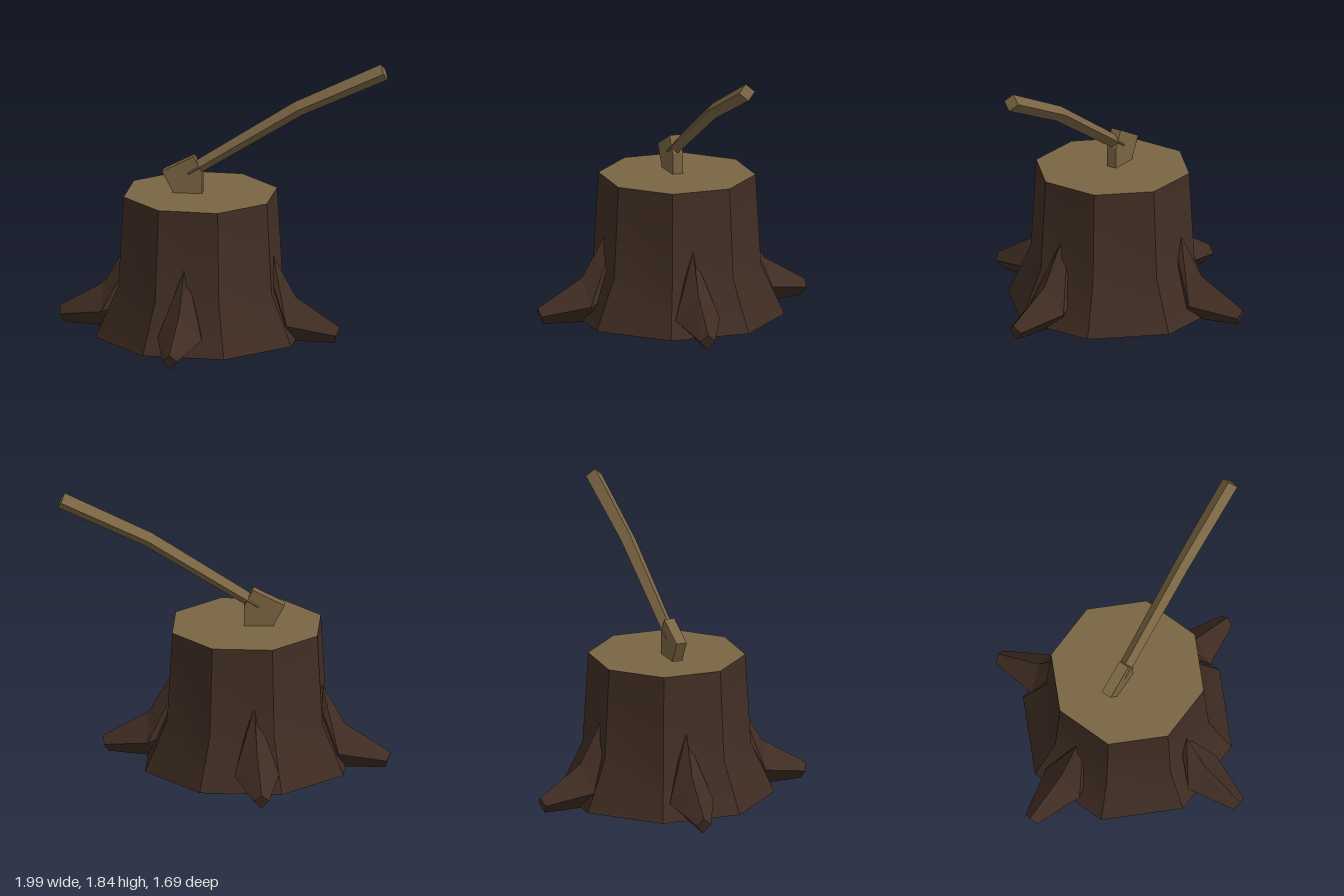
import * as THREE from 'three';
import { toCreasedNormals } from 'three/addons/utils/BufferGeometryUtils.js';

const makeMaterial = (name, color) => new THREE.MeshStandardMaterial({ name, color });

function makeMesh(name, geometry, material) {
  const mesh = new THREE.Mesh(geometry, material);
  mesh.name = name;
  return mesh;
}

// Eight-sided surface around y; edges bent by more than the crease angle stay sharp
function octagonal(profile, crease) {
  const points = profile.map(([r, y]) => new THREE.Vector2(r, y));
  return toCreasedNormals(new THREE.LatheGeometry(points, 8), crease);
}

// Joins rings of corners running along +x, and closes both ends
function loft(rings) {
  const n = rings[0].length;
  const positions = [];
  const tri = (...corners) => corners.forEach((c) => positions.push(...c));
  for (let i = 0; i < rings.length - 1; i++) {
    for (let j = 0; j < n; j++) {
      const k = (j + 1) % n;
      tri(rings[i][j], rings[i][k], rings[i + 1][k]);
      tri(rings[i][j], rings[i + 1][k], rings[i + 1][j]);
    }
  }
  const first = rings[0];
  const last = rings[rings.length - 1];
  for (let j = 1; j < n - 1; j++) {
    tri(first[0], first[j + 1], first[j]);
    tri(last[0], last[j], last[j + 1]);
  }
  const geometry = new THREE.BufferGeometry();
  geometry.setAttribute('position', new THREE.Float32BufferAttribute(positions, 3));
  geometry.computeVertexNormals();
  return geometry;
}

// Four-sided root section: ridge on top, two flanks, keel below
const rootRing = ([ridgeR, ridgeY], [sideR, sideY, width], [keelR, keelY]) => [
  [ridgeR, ridgeY, 0],
  [sideR, sideY, width],
  [keelR, keelY, 0],
  [sideR, sideY, -width],
];

// Diamond handle section, square to a direction leaning up by the given angle
const handleRing = ([u, y, radius, lean]) => {
  const dx = -Math.sin(lean) * radius;
  const dy = Math.cos(lean) * radius;
  return [[u + dx, y + dy, 0], [u, y, radius], [u - dx, y - dy, 0], [u, y, -radius]];
};

export function createModel() {
  const bark = makeMaterial('bark', 0x402d23);
  const wood = makeMaterial('wood', 0x7a6543);
  const model = new THREE.Group();
  model.name = 'stumpWithAxe';

  // Eight-sided trunk, flared softly at the foot
  const stump = new THREE.Group();
  stump.name = 'stump';
  stump.position.set(-0.1, 0, -0.04);
  stump.add(makeMesh('trunk', octagonal([[0.69, 0.02], [0.54, 0.35], [0.505, 0.945]], 0.55), bark));

  // Hollow underside
  stump.add(makeMesh('underside', octagonal([[0, 0.36], [0.69, 0.02]], 0.1), bark));

  const cut = makeMesh('cutTop', new THREE.CircleGeometry(0.505, 8).rotateX(-Math.PI / 2), wood);
  cut.position.y = 0.945;
  stump.add(cut);

  // Four spreading roots, their keels running in under the trunk
  const rootGeometry = loft([
    rootRing([0.49, 0.56], [0.45, 0.5, 0.02], [0.08, 0.33]),
    rootRing([0.64, 0.3], [0.62, 0.14, 0.145], [0.47, 0]),
    rootRing([0.935, 0.12], [0.92, 0.075, 0.05], [0.9, 0.015]),
  ]);
  const rootDirections = [[-0.88, 0.27], [0.32, 0.88], [0.9, -0.25], [-0.49, -0.79]];
  rootDirections.forEach(([x, z], i) => {
    const root = makeMesh(`root${i + 1}`, rootGeometry, bark);
    root.rotation.y = Math.atan2(-z, x);
    stump.add(root);
  });
  model.add(stump);

  // Axe sunk into the cut top
  const axe = new THREE.Group();
  axe.name = 'axe';
  axe.position.set(-0.15, 0, -0.017);
  axe.rotation.y = 0.442;
  const outline = new THREE.Shape([
    [-0.19, 1.085], [-0.12, 0.95], [-0.12, 0.88], [0.07, 0.88], [0.07, 1.08], [0.015, 1.19],
  ].map(([u, y]) => new THREE.Vector2(u, y)));
  const headGeometry = new THREE.ExtrudeGeometry(outline, { depth: 0.07, bevelEnabled: false });
  headGeometry.translate(0, 0, -0.035);
  axe.add(makeMesh('axeHead', headGeometry, wood));

  // Handle with a slight bend halfway
  const handle = loft([
    [-0.022, 1.075, 0.042, 0.566],
    [0.686, 1.525, 0.05, 0.505],
    [1.245, 1.79, 0.055, 0.44],
  ].map(handleRing));
  axe.add(makeMesh('axeHandle', handle, wood));
  model.add(axe);

  return model;
}
